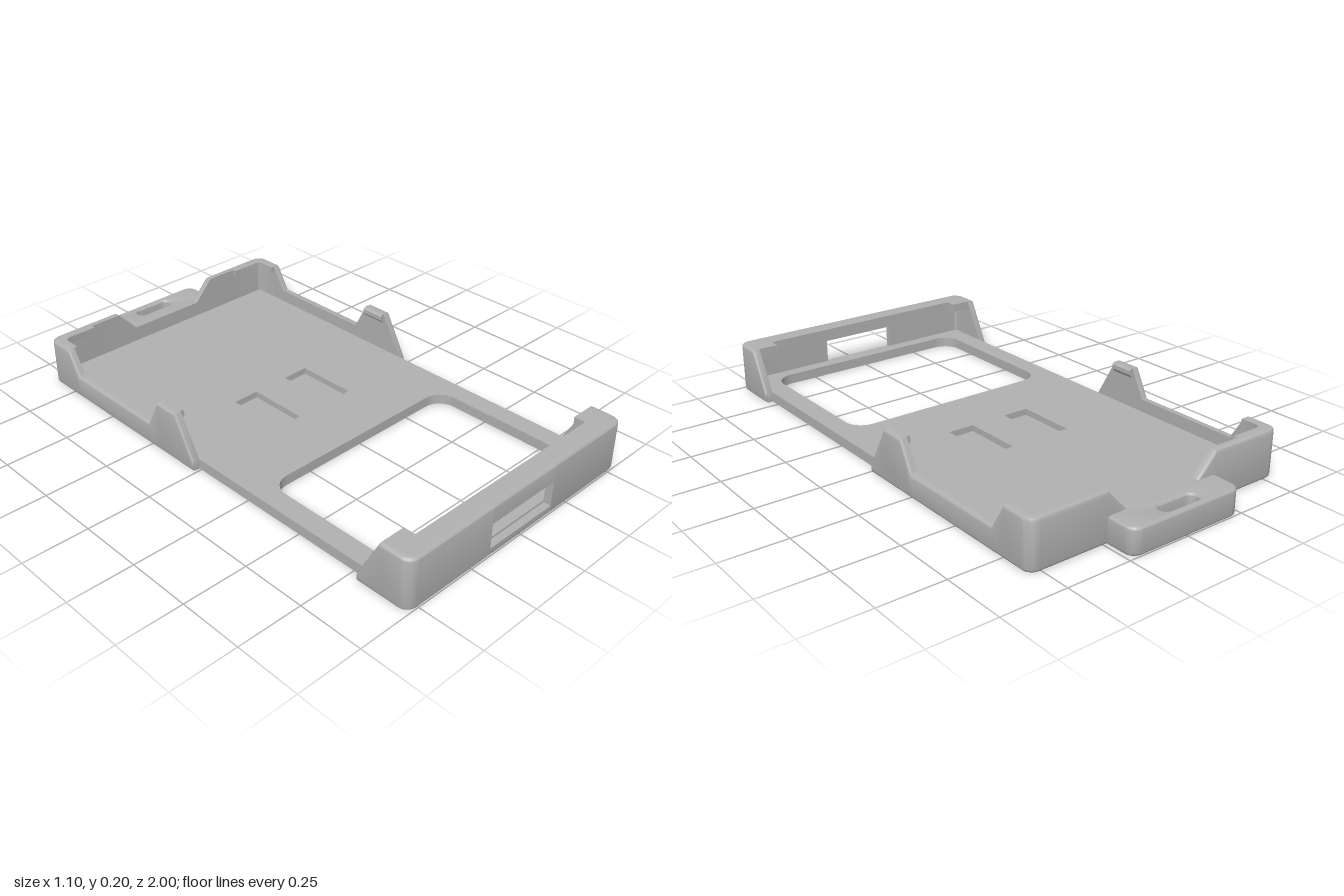
import * as THREE from 'three';
import { toCreasedNormals } from 'three/addons/utils/BufferGeometryUtils.js';

const BEVEL = 0.012;

// Rectangle in plan (x, z) with rounded corners; works as Shape or Path
function roundRect(path, x0, z0, x1, z1, r) {
  const [a, b] = [-z1, -z0];
  path.moveTo(x0 + r, a);
  path.lineTo(x1 - r, a);
  if (r) path.absarc(x1 - r, a + r, r, -Math.PI / 2, 0);
  path.lineTo(x1, b - r);
  if (r) path.absarc(x1 - r, b - r, r, 0, Math.PI / 2);
  path.lineTo(x0 + r, b);
  if (r) path.absarc(x0 + r, b - r, r, Math.PI / 2, Math.PI);
  path.lineTo(x0, a + r);
  if (r) path.absarc(x0 + r, a + r, r, Math.PI, Math.PI * 1.5);
  path.closePath();
  return path;
}

// Plan shape raised from y0 to y1
function raise(shape, y0, y1, bevel = 0) {
  const geo = new THREE.ExtrudeGeometry(shape, {
    depth: y1 - y0 - 2 * bevel, curveSegments: 8, bevelEnabled: bevel > 0,
    bevelSize: bevel, bevelThickness: bevel, bevelOffset: -bevel, bevelSegments: 3,
  });
  geo.rotateX(-Math.PI / 2);
  geo.translate(0, y0 + bevel, 0);
  return toCreasedNormals(geo, 0.6);
}

function planShape(points) {
  return new THREE.Shape(points.map(([x, z]) => new THREE.Vector2(x, -z)));
}

// Wall swept through stations [x, z, outwardX, outwardZ, topHeight]
function sweepWall(stations, { y0 = 0, thick = 0.03, low = BEVEL, high = BEVEL } = {}) {
  const section = (top) => {
    const pts = [];
    const round = (b, from, sign, base) => {
      for (let k = 0; k <= 3; k++) {
        const a = (from + k / 3) * Math.PI / 2;
        pts.push([b - b * Math.sin(a), base + sign * (b - b * Math.abs(Math.cos(a)))]);
      }
    };
    if (low) round(low, 0, 1, y0); else pts.push([0, y0]);
    if (high) round(high, 1, -1, top); else pts.push([0, top]);
    pts.push([thick, top], [thick, y0]);
    return pts;
  };
  const rings = stations.map(([x, z, nx, nz, top]) =>
    section(top).map(([d, y]) => [x - nx * d, y, z - nz * d]));
  const n = rings[0].length, pos = [];
  const tri = (...p) => p.forEach((v) => pos.push(...v));
  for (let i = 0; i + 1 < rings.length; i++) {
    for (let j = 0; j < n; j++) {
      const k = (j + 1) % n, a = rings[i], b = rings[i + 1];
      tri(a[j], b[j], a[k]);
      tri(b[j], b[k], a[k]);
    }
  }
  const first = rings[0], last = rings[rings.length - 1];
  for (let j = 1; j + 1 < n; j++) {
    tri(first[0], first[j], first[j + 1]);
    tri(last[0], last[j + 1], last[j]);
  }
  const geo = new THREE.BufferGeometry();
  geo.setAttribute('position', new THREE.Float32BufferAttribute(pos, 3));
  return toCreasedNormals(geo, 0.6);
}

// Stations around a vertical rounded corner
function corner(cx, cz, r, a0, a1, top) {
  return Array.from({ length: 9 }, (_, i) => {
    const a = a0 + (a1 - a0) * i / 8, c = Math.cos(a), s = Math.sin(a);
    return [cx + r * c, cz + r * s, c, s, top];
  });
}

const mirror = (list) => list.map(([x, z, nx, nz, t]) => [-x, z, -nx, nz, t]).reverse();

export function createModel() {
  const group = new THREE.Group();
  const grey = new THREE.MeshStandardMaterial({ color: 0xb0b0b0 });
  grey.name = 'grey plastic';
  const add = (name, geo) => {
    const mesh = new THREE.Mesh(geo, grey);
    mesh.name = name;
    group.add(mesh);
  };

  // Floor in two layers: both have the big opening, the upper one the pockets
  const floor = () => {
    const s = roundRect(new THREE.Shape(), -0.52, -0.86, 0.52, 0.972, 0);
    s.holes.push(roundRect(new THREE.Path(), -0.44, 0.275, 0.44, 0.92, 0.075));
    return s;
  };
  const upper = floor();
  for (const x of [-0.183, 0.075]) {
    upper.holes.push(roundRect(new THREE.Path(), x, -0.207, x + 0.108, 0.035, 0));
  }
  add('floorBottom', raise(floor(), 0, 0.015));
  add('floorTop', raise(upper, 0.015, 0.04));

  // Rear wall wrapping both sides, with raised clips, corners and a low middle
  const side = [[-0.01, 0.04], [-0.1, 0.2], [-0.197, 0.2], [-0.255, 0.09], [-0.7, 0.09], [-0.757, 0.185]]
    .map(([z, top]) => [0.55, z, 1, 0, top]);
  const rearHalf = [
    ...side,
    ...corner(0.51, -0.845, 0.04, 0, -Math.PI / 2, 0.185),
    [0.24, -0.885, 0, -1, 0.185],
    [0.16, -0.885, 0, -1, 0.1],
  ];
  add('rearWall', sweepWall([...rearHalf, ...mirror(rearHalf)]));

  // Front wall: two ends, plus strips below and above the window
  const frontHalf = [
    [0.16, 1, 0, 1, 0.2],
    ...corner(0.51, 0.96, 0.04, Math.PI / 2, 0, 0.2),
    [0.55, 0.875, 1, 0, 0.2],
    [0.55, 0.79, 1, 0, 0.04],
  ];
  add('frontWallLeft', sweepWall(frontHalf));
  add('frontWallRight', sweepWall(mirror(frontHalf)));
  const strip = (top) => [[-0.16, 1, 0, 1, top], [0.16, 1, 0, 1, top]];
  add('windowSill', sweepWall(strip(0.032), { high: 0 }));
  add('windowHeader', sweepWall(strip(0.2), { y0: 0.13, low: 0 }));

  // Overhanging lip along the front wall
  add('frontLip', raise(planShape([
    [-0.525, 0.875], [-0.44, 0.875], [-0.44, 0.92], [0.44, 0.92], [0.44, 0.875],
    [0.525, 0.875], [0.525, 0.975], [-0.525, 0.975],
  ]), 0.165, 0.2));

  // Rear corner lips and side catches
  for (const s of [1, -1]) {
    const pts = [
      [0.53, -0.757], [0.507, -0.757], [0.507, -0.82], [0.502, -0.835], [0.487, -0.84],
      [0.37, -0.84], [0.37, -0.865], [0.53, -0.865],
    ].map(([x, z]) => [s * x, z]);
    add('rearCornerLip', raise(planShape(pts), 0.155, 0.185));

    const hook = new THREE.Shape([[0.53, 0.15], [0.53, 0.2], [0.513, 0.2], [0.505, 0.192], [0.505, 0.175]]
      .map(([x, y]) => new THREE.Vector2(s * x, y)));
    const geo = new THREE.ExtrudeGeometry(hook, { depth: 0.097, bevelEnabled: false });
    geo.translate(0, 0, -0.197);
    add('sideCatch', geo);
  }

  // Rear tab with a strap slot
  const tab = planShape([[-0.24, -0.858], [0.24, -0.858]]);
  tab.lineTo(0.24, 0.96);
  tab.absarc(0.2, 0.96, 0.04, 0, Math.PI / 2);
  tab.lineTo(-0.2, 1);
  tab.absarc(-0.2, 0.96, 0.04, Math.PI / 2, Math.PI);
  tab.closePath();
  tab.holes.push(roundRect(new THREE.Path(), -0.08, -0.972, 0.08, -0.925, 0.022));
  add('rearTab', raise(tab, 0, 0.1, 0.01));

  return group;
}
